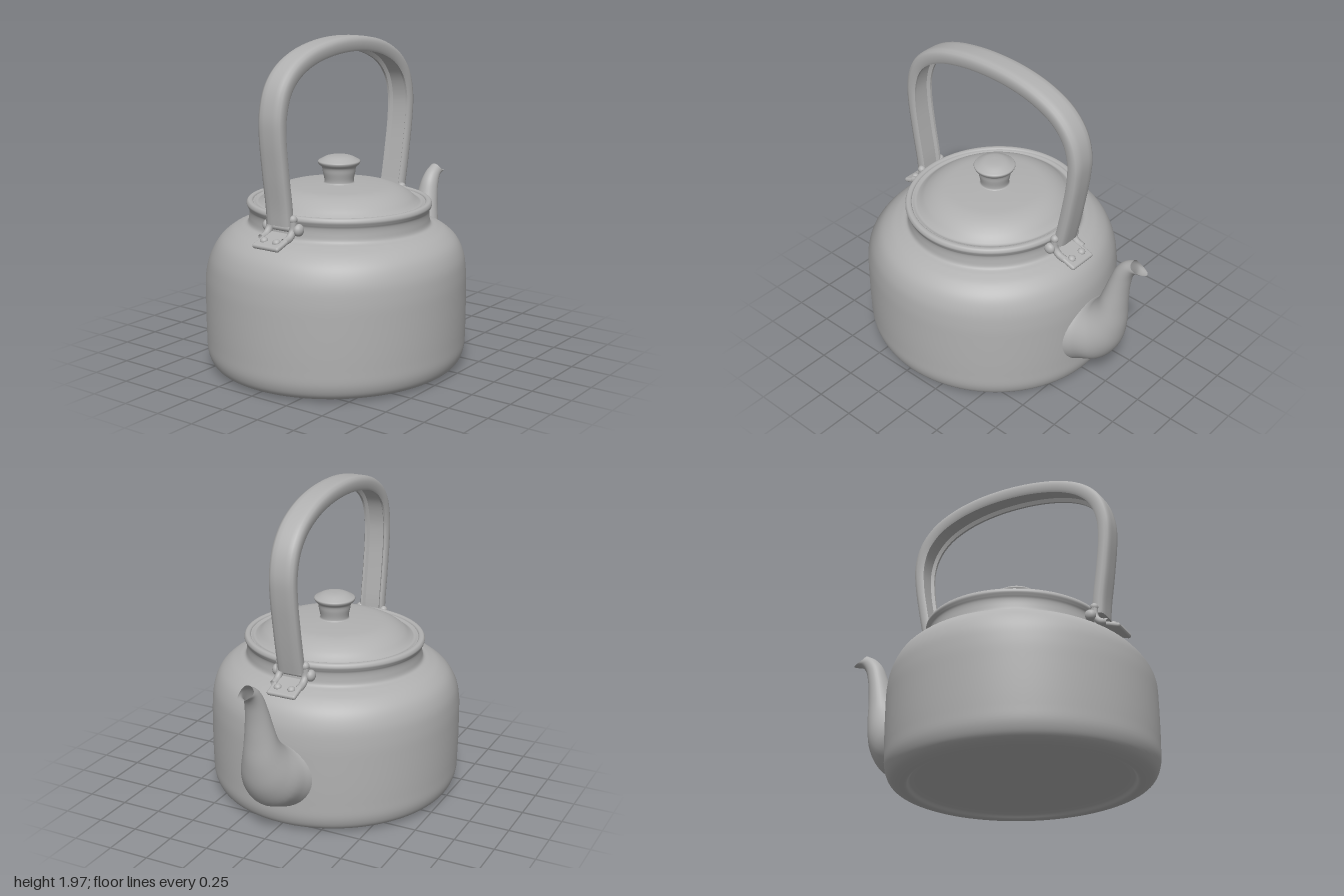
import * as THREE from 'three';
import { toCreasedNormals } from 'three/addons/utils/BufferGeometryUtils.js';
import { RoundedBoxGeometry } from 'three/addons/geometries/RoundedBoxGeometry.js';

const CX = -0.165; // axis of neck, lid, knob and handle
const metal = new THREE.MeshStandardMaterial({ color: 0xb0b0b0 });
const openMetal = metal;
openMetal.side = THREE.DoubleSide;

function part(name, geometry, parent, x = 0, y = 0, z = 0) {
  const mesh = new THREE.Mesh(geometry, metal);
  mesh.name = name;
  mesh.position.set(x, y, z);
  parent.add(mesh);
  return mesh;
}

function smoothPath(points, count) {
  const curve = new THREE.CatmullRomCurve3(points.map(([x, y]) => new THREE.Vector3(x, y, 0)));
  return curve.getPoints(count);
}

function turned(points, count, segments = 72) {
  const profile = smoothPath(points, count).map(p => new THREE.Vector2(Math.max(p.x, 0), p.y));
  return new THREE.LatheGeometry(profile, segments);
}

// Skin closed rings of equal size; optionally close both ends.
function loft(rings, caps = false) {
  const n = rings[0].length, pos = [], index = [];
  rings.forEach(r => r.forEach(p => pos.push(...p)));
  for (let i = 0; i < rings.length - 1; i++) {
    for (let j = 0; j < n; j++) {
      const a = i * n + j, b = i * n + (j + 1) % n;
      index.push(a, b, b + n, a, b + n, a + n);
    }
  }
  if (caps) {
    const flat = rings[0].map(p => p[3] || null);
    for (const [base, flip] of [[0, true], [(rings.length - 1) * n, false]]) {
      // pair opposite points of the mirrored section
      for (let j = 0; j < n / 2 - 1; j++) {
        const a = base + j, b = base + j + 1, c = base + n - 2 - j, d = base + n - 1 - j;
        if (flip) index.push(a, c, b, a, d, c);
        else index.push(a, b, c, a, c, d);
      }
    }
  }
  const g = new THREE.BufferGeometry();
  g.setAttribute('position', new THREE.Float32BufferAttribute(pos, 3));
  g.setIndex(index);
  g.computeVertexNormals();
  return g;
}

function makeBody() {
  const g = turned([
    [0, 0.03], [0.62, 0.03], [0.65, 0.003], [0.69, 0.004], [0.74, 0.03], [0.768, 0.09],
    [0.775, 0.2], [0.776, 0.45], [0.772, 0.58], [0.757, 0.68], [0.72, 0.76], [0.66, 0.815],
    [0.6, 0.843], [0.56, 0.86], [0.55, 0.9], [0.55, 0.94], [0.558, 0.958], [0.565, 0.978],
    [0.555, 0.998], [0.53, 0.998], [0.52, 0.98],
  ], 110, 96);
  // belly is a little wider in x than the neck and sits slightly off its axis
  const p = g.attributes.position;
  for (let i = 0; i < p.count; i++) {
    const t = 1 - THREE.MathUtils.smoothstep(p.getY(i), 0.55, 0.88);
    p.setX(i, p.getX(i) * (0.96 + 0.08 * t) - 0.028 * t);
  }
  return g;
}

function makeSpout() {
  // upper point x, y; lower point x, y; half width in z; bow of the rim
  const stations = [
    [0.54, 0.58, 0.56, 0.13, 0.24, 0],
    [0.60, 0.58, 0.64, 0.17, 0.21, 0],
    [0.635, 0.60, 0.74, 0.22, 0.185, 0],
    [0.66, 0.63, 0.82, 0.34, 0.15, 0],
    [0.69, 0.68, 0.855, 0.50, 0.115, 0],
    [0.72, 0.76, 0.862, 0.67, 0.09, 0],
    [0.755, 0.86, 0.875, 0.82, 0.07, 0],
    [0.79, 0.945, 0.90, 0.92, 0.056, 0],
    [0.835, 1.0, 0.935, 0.965, 0.047, 0.005],
    [0.90, 1.04, 1.0, 0.985, 0.042, 0.025],
  ];
  const track = k => new THREE.CatmullRomCurve3(stations.map(s => new THREE.Vector3(s[k], s[k + 1], s[4])));
  const upper = track(0), lower = track(2);
  const bow = new THREE.SplineCurve(stations.map((s, i) => new THREE.Vector2(i, s[5])));
  const rings = [];
  for (let i = 0; i <= 45; i++) {
    const u = upper.getPoint(i / 45), l = lower.getPoint(i / 45), b = bow.getPoint(i / 45).y;
    const ring = [];
    for (let j = 0; j < 32; j++) {
      const a = j / 32 * Math.PI * 2, c = Math.cos(a), s = Math.sin(a);
      ring.push([
        (u.x + l.x) / 2 + (l.x - u.x) / 2 * c - b * s * s,
        (u.y + l.y) / 2 + (l.y - u.y) / 2 * c - b * 0.4 * s * s,
        -s * u.z,
      ]);
    }
    rings.push(ring);
  }
  return loft(rings);
}

function makeHandle() {
  const path = new THREE.CatmullRomCurve3([
    [-0.728, 0.95], [-0.737, 1.05], [-0.765, 1.25], [-0.786, 1.45], [-0.782, 1.58], [-0.74, 1.71],
    [-0.66, 1.80], [-0.53, 1.868], [-0.35, 1.91], [-0.15, 1.924], [0.05, 1.91], [0.22, 1.868],
    [0.36, 1.795], [0.45, 1.69], [0.489, 1.56], [0.486, 1.42], [0.455, 1.22], [0.42, 1.04], [0.40, 0.95],
  ].map(([x, y]) => new THREE.Vector3(x, y, 0)));
  // strap section, rounded outside with a channel inside
  const half = [[0.042, 0.03], [0.04, 0.058], [0.03, 0.076], [0.01, 0.082],
    [-0.025, 0.081], [-0.038, 0.074], [-0.038, 0.06], [-0.018, 0.048]];
  const section = [...half, ...half.slice().reverse().map(([n, z]) => [n, -z])];
  const rings = [];
  for (let i = 0; i <= 90; i++) {
    const p = path.getPoint(i / 90), t = path.getTangent(i / 90);
    const thick = 0.85 + 0.25 * THREE.MathUtils.smoothstep(p.y, 1.3, 1.9);
    rings.push(section.map(([n, z]) => [p.x - t.y * n * thick, p.y + t.x * n * thick, z]));
  }
  return toCreasedNormals(loft(rings, true), 0.8);
}

// Hinge on the +x side, measured from the kettle axis
function makeBracket() {
  const g = new THREE.Group();
  g.name = 'handleBracket';
  const foot = new THREE.Group();
  foot.name = 'bracketFoot';
  foot.position.set(0.625, 0.862, 0);
  foot.rotation.z = -0.32;
  g.add(foot);
  part('footPlate', new RoundedBoxGeometry(0.17, 0.03, 0.19, 3, 0.014), foot);
  for (const z of [-0.045, 0.045]) {
    part('rivet', new THREE.SphereGeometry(0.024, 16, 10), foot, 0.025, 0.014, z).scale.y = 0.8;
  }
  for (const s of [-1, 1]) {
    // bent ear rising from the plate to the hinge pin
    const ear = new THREE.CatmullRomCurve3([
      [0.63, 0.872], [0.585, 0.885], [0.555, 0.92], [0.55, 0.985],
    ].map(([x, y]) => new THREE.Vector3(x, y, s * 0.085)));
    part('ear', new THREE.TubeGeometry(ear, 16, 0.022, 10), g);
    part('earTip', new THREE.SphereGeometry(0.026, 14, 10), g, 0.55, 0.985, s * 0.083);
    part('pinHead', new THREE.SphereGeometry(0.036, 18, 12), g, 0.535, 0.925, s * 0.112).scale.z = 0.8;
  }
  part('hingePin', new THREE.CylinderGeometry(0.02, 0.02, 0.22, 16), g, 0.535, 0.925).rotation.x = Math.PI / 2;
  return g;
}

export function createModel() {
  const kettle = new THREE.Group();
  kettle.name = 'kettle';

  part('body', makeBody(), kettle, CX);
  part('spout', makeSpout(), kettle);
  part('handle', makeHandle(), kettle);

  // lid and knob
  const lid = part('lid', turned([
    [0.545, 0.975], [0.525, 0.99], [0.5, 0.985], [0.478, 0.998], [0.44, 1.03], [0.39, 1.06],
    [0.33, 1.08], [0.25, 1.089], [0.12, 1.096], [0, 1.1],
  ], 50), kettle, CX);
  lid.scale.x = 0.96;
  part('knob', turned([
    [0.11, 1.09], [0.09, 1.1], [0.088, 1.115], [0.097, 1.16], [0.104, 1.195], [0.122, 1.212],
    [0.127, 1.228], [0.11, 1.24], [0.075, 1.257], [0.035, 1.264], [0, 1.265],
  ], 50, 48), kettle, CX);

  // hinges on both sides
  for (const turn of [0, Math.PI]) {
    const bracket = makeBracket();
    bracket.position.x = CX;
    bracket.rotation.y = turn;
    kettle.add(bracket);
  }
  return kettle;
}
